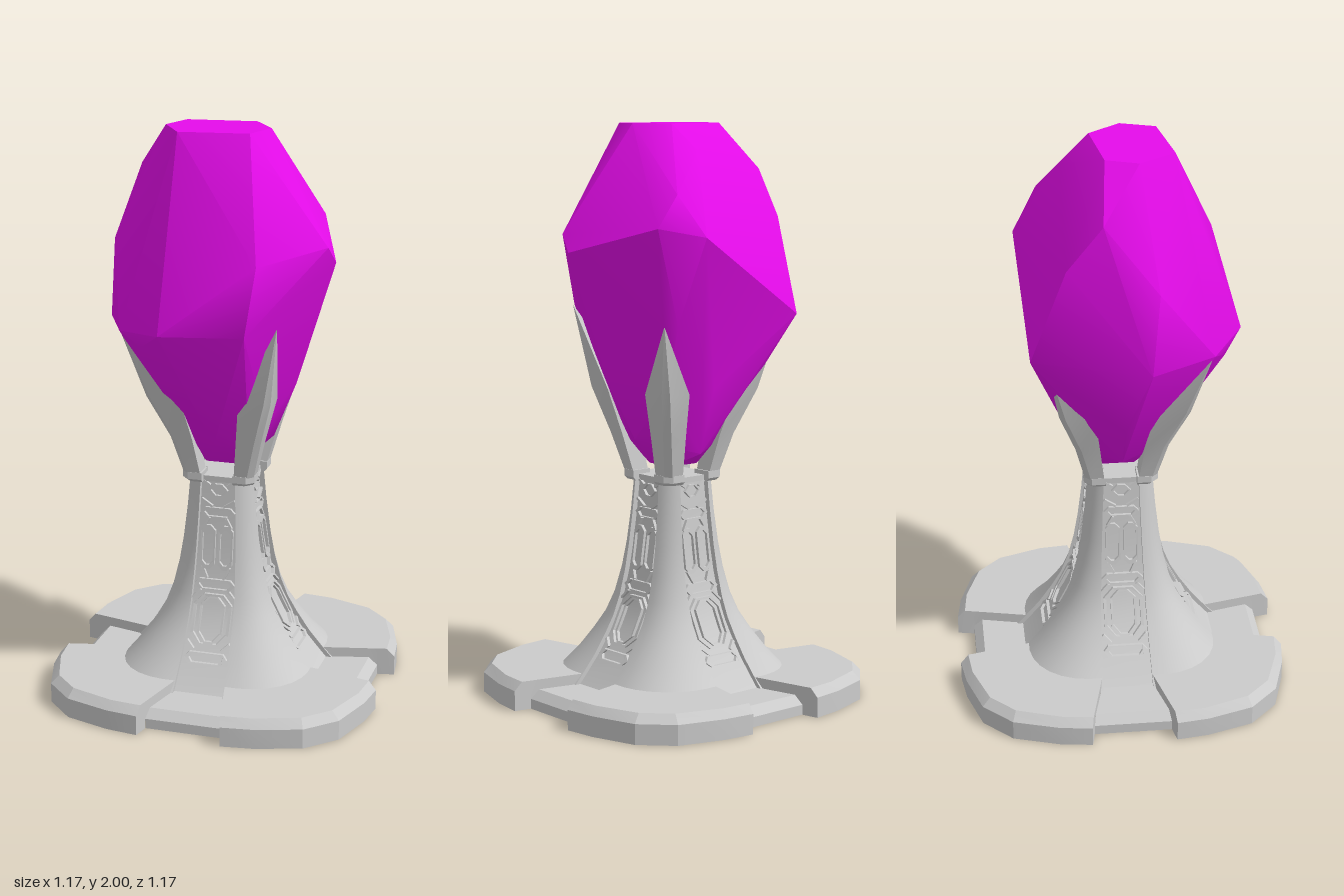
import * as THREE from 'three';
import { toCreasedNormals } from 'three/addons/utils/BufferGeometryUtils.js';
import { ConvexGeometry } from 'three/addons/geometries/ConvexGeometry.js';

const stone = new THREE.MeshStandardMaterial({ color: 0xcccccc, side: THREE.DoubleSide });
const gem = new THREE.MeshStandardMaterial({ color: 0xe60ceb });

// Skin a surface through rows of [x, y, z] points
function loft(rows, closed = false, crease = 0.55) {
  const pos = [], n = rows[0].length;
  for (let i = 0; i < rows.length - 1; i++) {
    for (let j = 0; j < (closed ? n : n - 1); j++) {
      const k = (j + 1) % n;
      const a = rows[i][j], b = rows[i][k], c = rows[i + 1][k], d = rows[i + 1][j];
      pos.push(...a, ...b, ...c, ...a, ...c, ...d);
    }
  }
  const g = new THREE.BufferGeometry();
  g.setAttribute('position', new THREE.Float32BufferAttribute(pos, 3));
  g.computeVertexNormals();
  return toCreasedNormals(g, crease);
}

function add(parent, name, geometry, material = stone) {
  const m = new THREE.Mesh(geometry, material);
  m.name = name;
  parent.add(m);
  return m;
}

// Flared half-width of the column, and half-width of its recessed panels
const flare = [[0, 0.43], [0.065, 0.365], [0.1, 0.335], [0.16, 0.285], [0.23, 0.238], [0.29, 0.203],
  [0.36, 0.176], [0.45, 0.154], [0.54, 0.139], [0.66, 0.125], [0.78, 0.115]];
function halfWidth(y) {
  let i = 0;
  while (i < flare.length - 2 && y > flare[i + 1][0]) i++;
  const [y0, w0] = flare[i], [y1, w1] = flare[i + 1];
  return w0 + (w1 - w0) * (y - y0) / (y1 - y0);
}
const panelWidth = y => 0.092 - 0.03 * y / 0.78;
const panelDepth = y => halfWidth(y) - 0.02;

// Corner leg cross-section: recess wall, rounded corner, recess wall
function legRow(y) {
  const h = halfWidth(y), g = panelWidth(y), row = [[g, y, h - 0.02]];
  const a0 = Math.atan2(g, h), r0 = Math.hypot(g, h);
  for (let i = 0; i <= 8; i++) {
    const t = i / 8, a = a0 + (Math.PI / 2 - 2 * a0) * t;
    const r = r0 + (Math.max(1.16 * h, r0) - r0) * Math.sin(Math.PI * t);
    row.push([r * Math.sin(a), y, r * Math.cos(a)]);
  }
  row.push([h - 0.02, y, g]);
  return row;
}

// Hollow corner plate with bevelled rim; its sides only drop to the bridges
function baseCorner(parent) {
  const outer = [[0.148, 0.585], [0.26, 0.57], [0.42, 0.52], [0.52, 0.42], [0.57, 0.26], [0.585, 0.148]];
  const bevel = [[0.142, 0.558], [0.25, 0.547], [0.408, 0.493], [0.493, 0.408], [0.547, 0.25], [0.558, 0.142]];
  const inner = [[0.09, 0.33], [0.17, 0.31], [0.235, 0.26], [0.26, 0.235], [0.31, 0.17], [0.33, 0.09]];
  const at = (pts, y) => pts.map(([x, z]) => [x, y, z]);
  add(parent, 'baseCornerPlate', loft([at(inner, 0.1), at(bevel, 0.1), at(outer, 0.07), at(outer, 0)], false, 0.2));
  const edge = [[0.09, 0.33, 0.1, 0.06], [0.129, 0.495, 0.1, 0.06], [0.136, 0.525, 0.1, 0.03],
    [0.136, 0.525, 0.1, 0], [0.142, 0.558, 0.1, 0], [0.148, 0.585, 0.07, 0]];
  for (const flip of [false, true]) {
    const side = k => edge.map(e => flip ? [e[1], e[k], e[0]] : [e[0], e[k], e[1]]);
    add(parent, 'baseCornerSide', loft([side(2), side(3)], false, 0.2));
  }
}

function baseBridge(parent) {
  const profile = [[0.33, 0.065], [0.495, 0.065], [0.525, 0.035], [0.525, 0]];
  const rows = profile.map(([z, y]) => {
    const w = 0.09 + (z - 0.335) * 0.24;
    return [[-w, y, z], [w, y, z]];
  });
  add(parent, 'baseBridge', loft(rows, false, 0.2));
}

// Thin ornament outline, bent to follow the panel
function ornament(parent, points, line = 0.78) {
  const shape = new THREE.Shape(points.map(p => new THREE.Vector2(...p)));
  const cx = points.reduce((s, p) => s + p[0], 0) / points.length;
  const cy = points.reduce((s, p) => s + p[1], 0) / points.length;
  if (line) {
    shape.holes.push(new THREE.Path(points.map(([x, y]) =>
      new THREE.Vector2(cx + (x - cx) * line, cy + (y - cy) * (line + 0.06)))));
  }
  const g = new THREE.ExtrudeGeometry(shape, { depth: 0.013, bevelEnabled: false });
  const p = g.attributes.position;
  for (let i = 0; i < p.count; i++) p.setZ(i, p.getZ(i) + panelDepth(p.getY(i)) - 0.002);
  g.computeVertexNormals();
  add(parent, 'panelOrnament', g);
}

const hexTall = (x, y, w, h, c) => [[x - w, y - h + c], [x - w, y + h - c], [x - w + c, y + h],
  [x + w - c, y + h], [x + w, y + h - c], [x + w, y - h + c], [x + w - c, y - h], [x - w + c, y - h]];
const hexWide = (x, y, w, h) => [[x - w, y], [x - w + h, y + h], [x + w - h, y + h],
  [x + w, y], [x + w - h, y - h], [x - w + h, y - h]];
const bar = (x0, y0, x1, y1, t = 0.004) => {
  const l = Math.hypot(x1 - x0, y1 - y0), nx = -(y1 - y0) / l * t, ny = (x1 - x0) / l * t;
  return [[x0 + nx, y0 + ny], [x1 + nx, y1 + ny], [x1 - nx, y1 - ny], [x0 - nx, y0 - ny]];
};

function columnPanel(parent) {
  const ys = [0.03, ...flare.slice(1).map(f => f[0])];
  add(parent, 'columnPanel', loft(ys.map(y => {
    const w = panelWidth(y), z = panelDepth(y);
    return [[-w, y, z], [w, y, z]];
  })));
  ornament(parent, hexWide(0, 0.167, 0.078, 0.016));
  ornament(parent, hexTall(0, 0.285, 0.07, 0.082, 0.035), 0.85);
  ornament(parent, hexTall(0, 0.285, 0.045, 0.075, 0.03), 0.85);
  ornament(parent, hexWide(0, 0.4, 0.074, 0.018));
  ornament(parent, hexWide(0, 0.655, 0.062, 0.017));
  ornament(parent, hexWide(0, 0.735, 0.035, 0.022));
  for (const s of [-1, 1]) {
    ornament(parent, hexTall(s * 0.032, 0.53, 0.026, 0.078, 0.018), 0.75);
    for (const [x0, y0, x1, y1] of [[0.05, 0.19, 0.078, 0.215], [0.05, 0.38, 0.078, 0.35],
      [0.03, 0.42, 0.05, 0.46], [0.05, 0.6, 0.03, 0.635], [0.02, 0.675, 0.06, 0.7], [0.03, 0.75, 0.06, 0.77]]) {
      ornament(parent, bar(s * x0, y0, s * x1, y1), 0);
    }
  }
}

// Collar block and pointed claw on one corner; tip is the claw's reach
function cornerClaw(parent, tip, tipY) {
  const ring = (y, e, c, k) => [[e, y, c], [c - k, y, c], [c, y, c - k], [c, y, e], [e, y, e]];
  add(parent, 'collarBlock', loft([ring(0.765, 0.055, 0.06, 0), ring(0.765, 0.055, 0.122, 0.025),
    ring(0.775, 0.055, 0.13, 0.025), ring(0.8, 0.055, 0.13, 0.025), ring(0.8, 0.055, 0.06, 0)], true, 0.3));
  const mid = 0.205 + (tip - 0.235) * 0.4;
  add(parent, 'claw', loft([ring(0.79, 0.06, 0.126, 0.02), ring(0.93, 0.078, 0.162, 0.02),
    ring(1.09, 0.1, mid, 0.02), ring(tipY, tip - 0.002, tip, 0.001)], true, 0.3));
}

// Irregular faceted crystal
function crystal() {
  const pts = [
    [0.4, 1.57, 0.07], [0.385, 1.63, 0.12], [0.2, 1.6, 0.345], [-0.12, 1.36, 0.405], [-0.2, 1.3, 0.34],
    [0.16, 1.36, 0.345], [-0.29, 1.34, 0.295], [-0.395, 1.33, 0.075], [-0.37, 1.61, 0.1], [-0.33, 1.84, -0.08],
    [-0.31, 1.68, -0.2], [-0.29, 1.35, -0.32], [0.145, 1.63, -0.345], [0.28, 1.66, -0.255],
    [0.2, 1.77, -0.26], [0.18, 1.33, -0.24], [0.05, 1.91, -0.19], [0.22, 1.86, 0.03],
    [-0.2, 2, 0.05], [-0.16, 2, -0.06], [0.08, 2, -0.09], [0.16, 2, 0.02], [0.12, 2, 0.14], [-0.12, 2, 0.175],
    [0.26, 1.13, 0.04], [-0.03, 1.2, 0.3], [-0.25, 1.05, 0], [0, 1.1, -0.22],
    [0.165, 1.1, 0.165], [0.165, 1.1, -0.165], [-0.18, 1.1, -0.18], [-0.17, 1.1, 0.18],
    [0.17, 0.92, 0], [0, 0.92, 0.16], [-0.16, 0.88, 0], [0, 0.87, -0.15],
    [0.11, 0.9, 0.11], [0.11, 0.9, -0.11], [-0.11, 0.9, -0.11], [-0.11, 0.9, 0.11],
    [0.06, 0.82, 0.05], [-0.06, 0.82, 0.05], [0.06, 0.82, -0.06], [-0.06, 0.82, -0.06]];
  return toCreasedNormals(new ConvexGeometry(pts.map(p => new THREE.Vector3(...p))), 0.6);
}

export function createModel() {
  const model = new THREE.Group();
  model.name = 'crystalPedestal';
  const claws = [[0.245, 1.37], [0.24, 1.33], [0.275, 1.37], [0.29, 1.34]];
  claws.forEach(([tip, tipY], i) => {
    const quarter = new THREE.Group();
    quarter.name = 'pedestalQuarter';
    quarter.rotation.y = i * Math.PI / 2;
    baseCorner(quarter);
    baseBridge(quarter);
    add(quarter, 'columnLeg', loft(flare.slice(1).map(f => legRow(f[0]))));
    columnPanel(quarter);
    cornerClaw(quarter, tip, tipY);
    model.add(quarter);
  });
  // Cap closing the top of the column
  add(model, 'columnCap', new THREE.BoxGeometry(0.21, 0.02, 0.21)).position.y = 0.775;
  add(model, 'crystal', crystal(), gem);
  return model;
}
